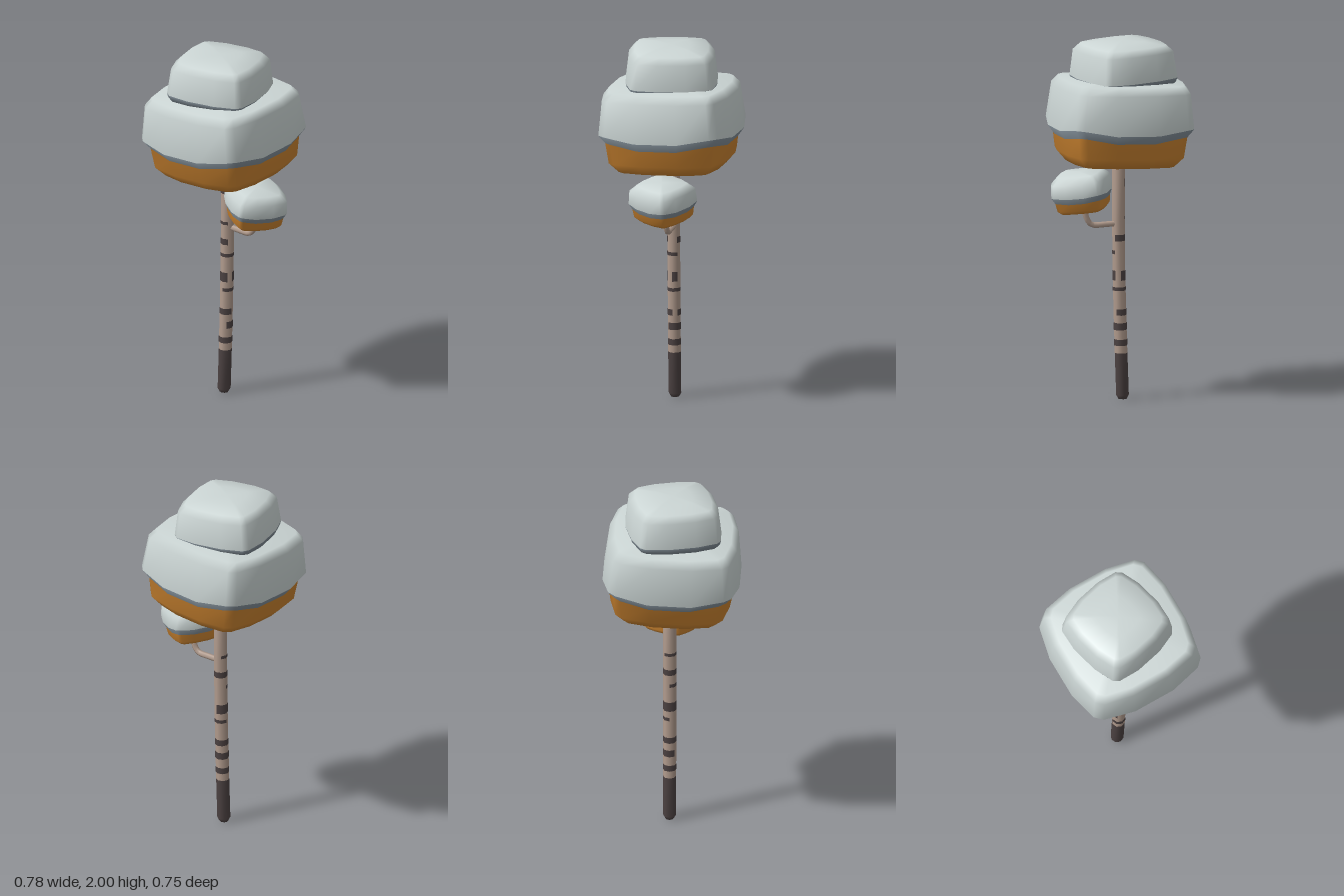
import * as THREE from 'three';

const mat = (name, color) => {
  const m = new THREE.MeshStandardMaterial({ color });
  m.name = name;
  return m;
};

// Closed skin over stacked rings; bands[i] is the material index between ring i and i + 1
function loft(rings, bands, bottomY, topY) {
  const n = rings[0].length, pos = [], idx = [], geo = new THREE.BufferGeometry();
  const centre = (ring, y) => {
    const c = ring.reduce((s, p) => s.add(p), new THREE.Vector3()).divideScalar(n);
    return [c.x, y, c.z];
  };
  rings.forEach(r => r.forEach(p => pos.push(p.x, p.y, p.z)));
  const low = rings.length * n, high = low + 1, last = (rings.length - 1) * n;
  pos.push(...centre(rings[0], bottomY), ...centre(rings[rings.length - 1], topY));
  const group = (count, index, start) => geo.addGroup(start, count, index);
  for (let i = 0; i < n; i++) idx.push(low, (i + 1) % n, i);
  group(n * 3, bands[0], 0);
  for (let k = 0; k < rings.length - 1; k++) {
    const start = idx.length;
    for (let i = 0; i < n; i++) {
      const a = k * n + i, b = k * n + (i + 1) % n;
      idx.push(a, b, b + n, a, b + n, a + n);
    }
    group(n * 6, bands[k], start);
  }
  const start = idx.length;
  for (let i = 0; i < n; i++) idx.push(high, last + i, last + (i + 1) % n);
  group(n * 3, bands[bands.length - 1], start);
  geo.setAttribute('position', new THREE.Float32BufferAttribute(pos, 3));
  geo.setIndex(idx);
  geo.computeVertexNormals();
  return geo;
}

// Bulging square with clipped corners: [x, z, corner lift], one quarter turned four times
const QUARTER = [[-0.32, 1, 0], [0.32, 1, 0], [0.79, 0.9, 0.85], [0.9, 0.79, 0.85]];
const SQUARE = [];
for (let q = 0; q < 4; q++) {
  const c = Math.round(Math.cos(q * Math.PI / 2)), s = Math.round(Math.sin(q * Math.PI / 2));
  QUARTER.forEach(([x, z, l]) => SQUARE.push([x * c + z * s, z * c - x * s, l]));
}

// Foliage block from rows of [scale, y, corner lift]
function block(name, half, rows, bands, bottomY, topY, mats) {
  const rings = rows.map(([s, y, lift = 0]) =>
    SQUARE.map(([x, z, l]) => new THREE.Vector3(x * s * half, y + l * lift, z * s * half)));
  const mesh = new THREE.Mesh(loft(rings, bands, bottomY, topY), mats);
  mesh.name = name;
  mesh.rotation.order = 'ZYX';
  return mesh;
}

export function createModel() {
  const model = new THREE.Group();
  model.name = 'snowyTree';
  const snow = mat('snow', 0xccd6d5), shade = mat('snowEdge', 0x7f8b94), leaf = mat('autumnLeaves', 0xd28832);
  const bark = mat('bark', 0xb29c8e), dark = mat('darkBark', 0x4c4242);
  const foliage = [leaf, shade, snow];

  // Foliage
  const crown = block('crown', 0.376, [
    [0.74, -0.225], [0.87, -0.17], [0.91, -0.08, 0.03], [1, -0.033, 0.03], [0.94, 0.185], [0.85, 0.228],
  ], [0, 0, 1, 2, 2], -0.225, 0.24, foliage);
  crown.position.set(-0.013, 1.55, 0);
  crown.rotation.set(0.04, 0, 0.04);

  const cap = block('crownTop', 0.252, [
    [0.85, -0.14], [0.97, -0.1], [1, -0.075], [0.93, 0.07], [0.8, 0.105], [0.4, 0.122],
  ], [1, 1, 2, 2, 2], -0.14, 0.125, foliage);
  cap.position.set(-0.033, 1.875, 0.007);
  cap.rotation.set(0, 0.245, -0.02);

  const tuft = block('sideTuft', 0.157, [
    [0.74, -0.105], [0.86, -0.085], [0.9, -0.045, 0.008], [1, -0.012, 0.008], [0.96, 0.065], [0.72, 0.1],
  ], [0, 0, 1, 2, 2], -0.105, 0.108, foliage);
  tuft.position.set(0.207, 1.175, -0.007);
  tuft.rotation.set(0.02, -0.54, -0.15);
  model.add(crown, cap, tuft);

  // Trunk: gently bent eight-sided pole with a dark foot
  const SIDES = 8, R = 0.036, Z = -0.014;
  const axisX = y => -0.024 * Math.pow(Math.max(0, 1 - y / 0.9), 1.4);
  const ring = (y, r) => Array.from({ length: SIDES }, (_, i) => {
    const t = i * Math.PI * 2 / SIDES;
    return new THREE.Vector3(axisX(y) + Math.sin(t) * r, y, Z + Math.cos(t) * r);
  });
  const trunk = new THREE.Mesh(loft(
    [ring(0.003, 0.024), ring(0.025, R), ring(0.26, R), ring(0.5, R), ring(0.75, R), ring(1, R), ring(1.4, R)],
    [1, 1, 0, 0, 0, 0], 0, 1.4), [bark, dark]);
  trunk.name = 'trunk';
  model.add(trunk);

  // Bark marks: [y, height, first side, side count]
  const marks = [
    [0.32, 0.035, 0, 8], [0.41, 0.04, 1, 6], [0.49, 0.035, 3, 6], [0.49, 0.035, 1, 1],
    [0.62, 0.02, 0, 6], [0.695, 0.055, 4, 5], [0.695, 0.055, 2, 1], [0.825, 0.02, 6, 5],
    [0.905, 0.035, 3, 6], [1.015, 0.018, 5, 4], [1.21, 0.045, 5, 5], [1.29, 0.03, 6, 3],
  ];
  marks.forEach(([y, h, first, count]) => {
    const step = Math.PI * 2 / SIDES;
    const band = new THREE.Mesh(
      new THREE.CylinderGeometry(R + 0.0015, R + 0.0015, h, count, 1, true, first * step, count * step), dark);
    band.name = 'barkMark';
    band.position.set(axisX(y), y, Z);
    model.add(band);
  });

  // Branch: out from the trunk, then up into the side tuft
  const path = new THREE.CatmullRomCurve3([
    [0, 0.985], [0.08, 0.982], [0.15, 0.983], [0.175, 1.005], [0.205, 1.1],
  ].map(([x, y]) => new THREE.Vector3(x, y, -0.02)), false, 'centripetal');
  const branch = new THREE.Mesh(new THREE.TubeGeometry(path, 14, 0.0165, 6), bark);
  branch.name = 'branch';
  model.add(branch);

  return model;
}
